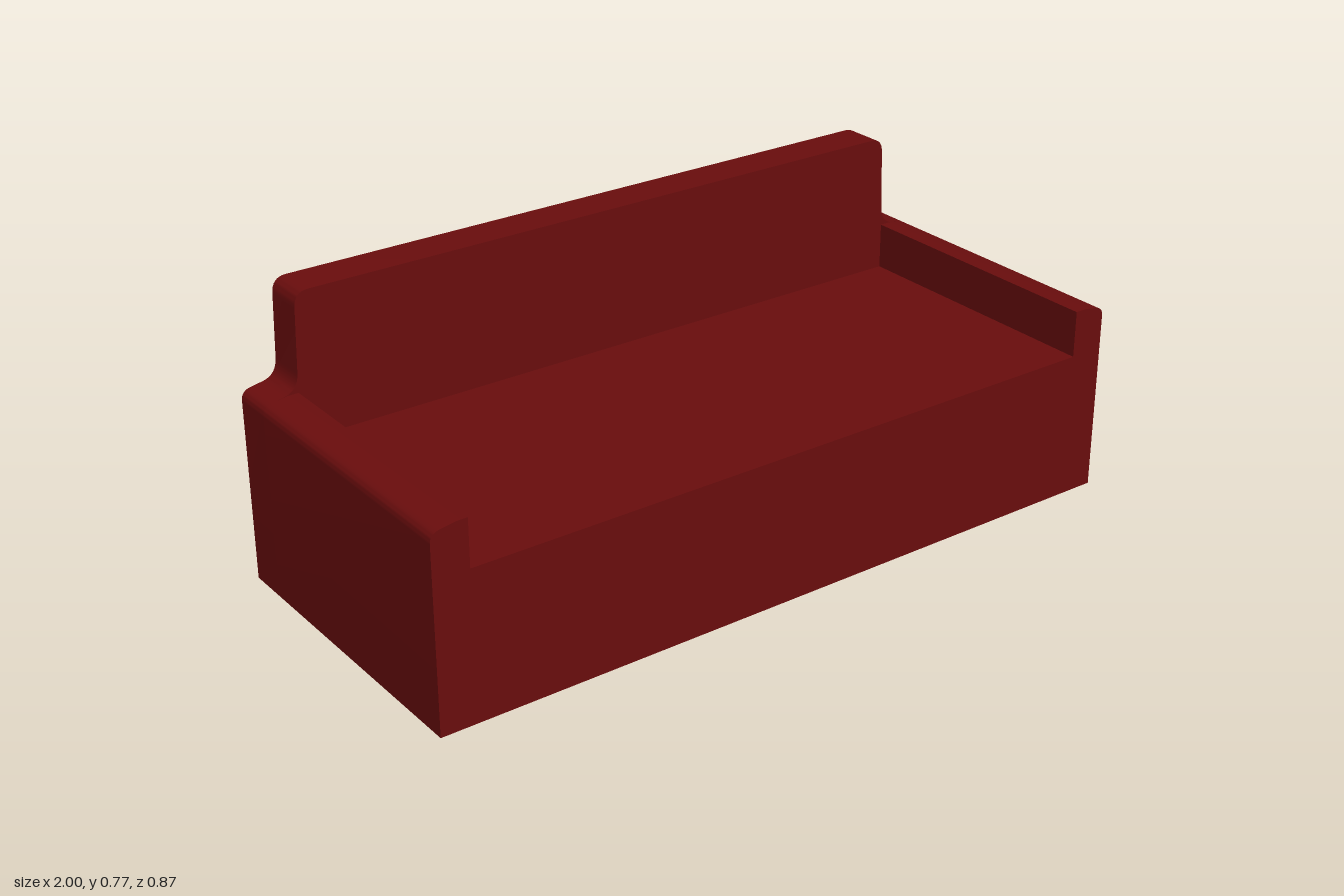
import * as THREE from 'three';
import { toCreasedNormals } from 'three/addons/utils/BufferGeometryUtils.js';

const BACK_Z = -0.433, BACKREST_Z = -0.323, FRONT_Z = 0.433;

// Extrudes an outline along z, smoothing only its rounded corners
function extrudeBetween(shape, z0, z1, name, material) {
  const geometry = new THREE.ExtrudeGeometry(shape, { depth: z1 - z0, bevelEnabled: false, curveSegments: 8 });
  geometry.translate(0, 0, z0);
  const mesh = new THREE.Mesh(toCreasedNormals(geometry, 0.6), material);
  mesh.name = name;
  return mesh;
}

// Closes a right-hand half outline by mirroring it across x = 0
function mirroredShape(half) {
  const right = half.getPoints(8);
  const left = right.map(p => new THREE.Vector2(-p.x, p.y)).reverse();
  return new THREE.Shape([...right, ...left]);
}

export function createModel() {
  const group = new THREE.Group();
  group.name = 'sofa';
  const upholstery = new THREE.MeshStandardMaterial({ color: 0x6a0d0d });
  upholstery.name = 'dark red upholstery';

  // Seat base with both armrests
  const seat = new THREE.Path();
  seat.moveTo(1, 0);
  seat.lineTo(1, 0.485);
  seat.quadraticCurveTo(1, 0.51, 0.972, 0.514);
  seat.lineTo(0.935, 0.52);
  seat.lineTo(0.905, 0.52);
  seat.lineTo(0.905, 0.395);
  group.add(extrudeBetween(mirroredShape(seat), BACKREST_Z, FRONT_Z, 'seatAndArmrests', upholstery));

  // Backrest panel, flaring out over the armrests
  const back = new THREE.Path();
  back.moveTo(1, 0);
  back.lineTo(1, 0.485);
  back.quadraticCurveTo(1, 0.51, 0.972, 0.514);
  back.lineTo(0.945, 0.519);
  back.quadraticCurveTo(0.906, 0.525, 0.904, 0.57);
  back.lineTo(0.898, 0.735);
  back.quadraticCurveTo(0.897, 0.775, 0.86, 0.775);
  group.add(extrudeBetween(mirroredShape(back), BACK_Z, BACKREST_Z, 'backrest', upholstery));

  return group;
}
